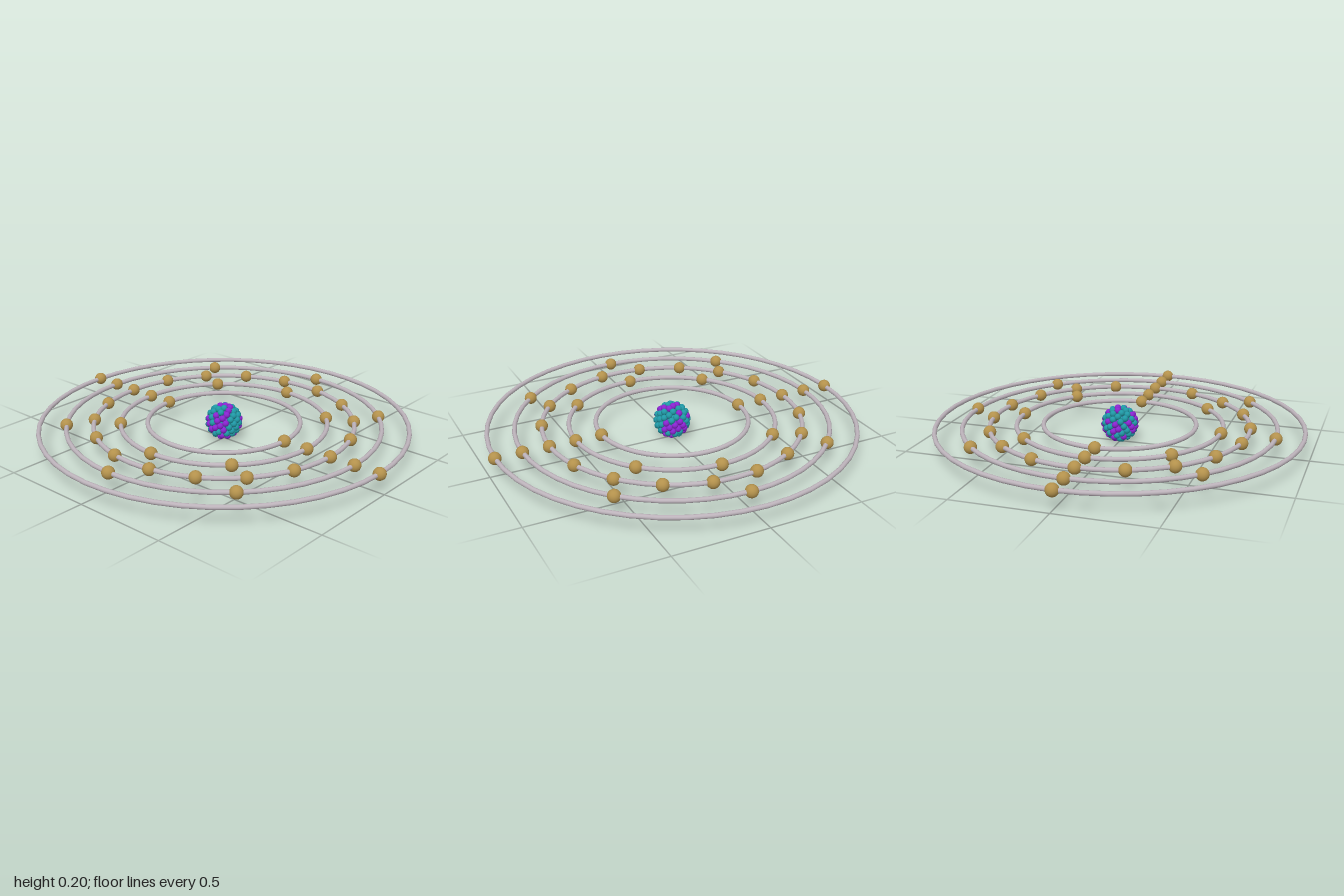
import * as THREE from 'three';

const CENTER_Y = 0.1;

function add(parent, name, geometry, material, x = 0, y = 0, z = 0) {
  const mesh = new THREE.Mesh(geometry, material);
  mesh.name = name;
  mesh.position.set(x, y, z);
  parent.add(mesh);
  return mesh;
}

export function createModel() {
  const mat = (color) => new THREE.MeshStandardMaterial({ color });
  const ringMat = mat(0xbdb3bb);
  const electronMat = mat(0xb3914c);
  const protonMat = mat(0x8a24d0);
  const neutronMat = mat(0x1f98a5);

  const model = new THREE.Group();
  model.name = 'atom';

  // Orbit rings, each with evenly spaced electrons starting on the z axis
  const electronGeo = new THREE.SphereGeometry(0.033, 24, 16);
  const shells = [[0.403, 2], [0.544, 8], [0.685, 18], [0.826, 8], [0.967, 2]];
  shells.forEach(([radius, count], i) => {
    const shell = new THREE.Group();
    shell.name = `shell${i + 1}`;
    shell.position.y = CENTER_Y;
    const ringGeo = new THREE.TorusGeometry(radius, 0.012, 12, 48).rotateX(Math.PI / 2);
    add(shell, 'orbitRing', ringGeo, ringMat);
    for (let k = 0; k < count; k++) {
      const a = (k / count) * Math.PI * 2;
      add(shell, 'electron', electronGeo, electronMat, radius * Math.sin(a), 0, radius * Math.cos(a));
    }
    model.add(shell);
  });

  // Nucleus: balls spread on an outer and an inner sphere, in two mixed colours
  const nucleus = new THREE.Group();
  nucleus.name = 'nucleus';
  nucleus.position.y = CENTER_Y;
  let seed = 7;
  const random = () => (seed = (seed * 16807) % 2147483647) / 2147483647;
  const nucleonGeo = new THREE.SphereGeometry(0.0172, 16, 12);
  const golden = Math.PI * (3 - Math.sqrt(5));
  for (const [radius, count] of [[0.0825, 90], [0.056, 40]]) {
    for (let k = 0; k < count; k++) {
      const y = 1 - (2 * k + 1) / count;
      const r = Math.sqrt(1 - y * y);
      const proton = random() < 0.45;
      add(nucleus, proton ? 'proton' : 'neutron', nucleonGeo, proton ? protonMat : neutronMat,
        radius * r * Math.cos(k * golden), radius * y, radius * r * Math.sin(k * golden));
    }
  }
  model.add(nucleus);

  return model;
}
